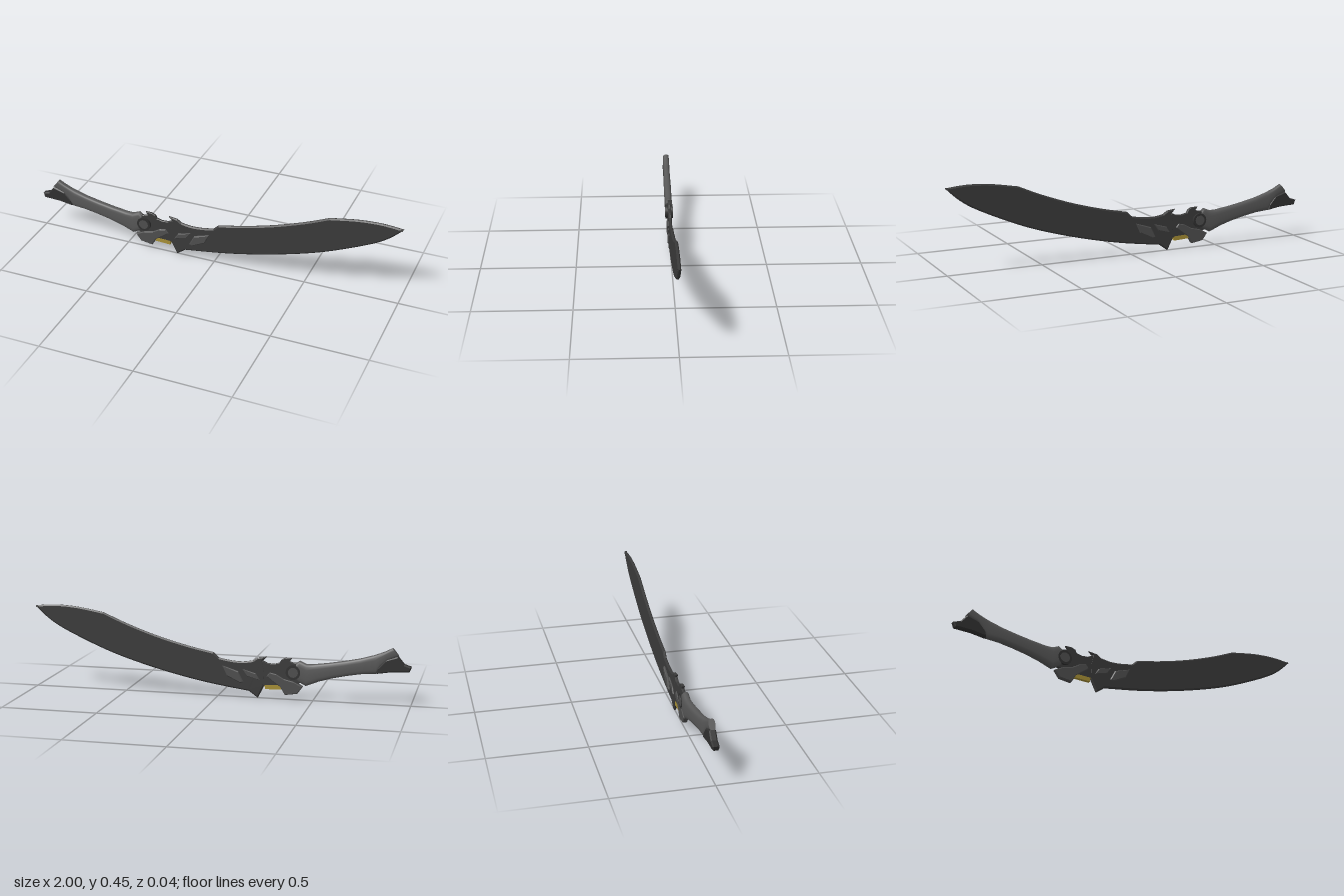
import * as THREE from 'three';

const mat = (name, color, extra = {}) => {
  const m = new THREE.MeshStandardMaterial({ color, ...extra });
  m.name = name;
  return m;
};

export function createModel() {
  const group = new THREE.Group();
  const bladeSteel = mat('blade steel', 0x3a3a3a);
  const gripGrey = mat('grip grey', 0x575757);
  const plateGrey = mat('plate grey', 0x4e4e4e);
  const darkMetal = mat('dark metal', 0x303030);
  const gold = mat('gold', 0xa78f35);

  const add = (name, geometry, material) => {
    const mesh = new THREE.Mesh(geometry, material);
    mesh.name = name;
    group.add(mesh);
    return mesh;
  };

  // Flat part from an outline, bevelled inward, centred on z = 0
  const slab = (name, shape, half, bevel, material, bevelDepth = bevel) => {
    const g = new THREE.ExtrudeGeometry(shape, {
      depth: 2 * (half - bevelDepth), bevelEnabled: true, bevelSegments: 1,
      bevelSize: bevel, bevelOffset: -bevel, bevelThickness: bevelDepth, curveSegments: 10,
    });
    g.translate(0, 0, -(half - bevelDepth));
    return add(name, g, material);
  };
  const poly = (pts) => new THREE.Shape(pts.map(([x, y]) => new THREE.Vector2(x, y)));
  const vecs = (pts) => pts.map(([x, y]) => new THREE.Vector2(x, y));

  // Blade: curved cutting edge, clipped back and hooked heel
  const blade = new THREE.Shape();
  blade.moveTo(-0.245, 0.07);
  blade.lineTo(-0.212, 0.004);
  blade.lineTo(-0.165, 0.038);
  blade.splineThru(vecs([[0.06, 0.072], [0.275, 0.118], [0.49, 0.178], [0.65, 0.236],
    [0.836, 0.32], [0.927, 0.376], [0.998, 0.441]]));
  blade.splineThru(vecs([[0.93, 0.448], [0.86, 0.45], [0.756, 0.442], [0.62, 0.419]]));
  blade.splineThru(vecs([[0.49, 0.364], [0.33, 0.308], [0.17, 0.264], [0.024, 0.233]]));
  blade.lineTo(-0.005, 0.206);
  blade.splineThru(vecs([[-0.07, 0.195], [-0.13, 0.192], [-0.185, 0.2]]));
  blade.lineTo(-0.21, 0.217);
  blade.lineTo(-0.258, 0.223);
  blade.lineTo(-0.238, 0.203);
  blade.lineTo(-0.25, 0.15);
  slab('blade', blade, 0.008, 0.007, bladeSteel, 0.005);

  // Guard core joining blade and grip
  slab('guardCore', poly([[-0.45, 0.1], [-0.36, 0.07], [-0.24, 0.07], [-0.2, 0.1],
    [-0.21, 0.18], [-0.238, 0.203], [-0.262, 0.19], [-0.295, 0.188], [-0.325, 0.195],
    [-0.335, 0.213], [-0.355, 0.222], [-0.39, 0.222], [-0.378, 0.205], [-0.4, 0.198],
    [-0.44, 0.2]]), 0.0075, 0.003, bladeSteel);

  // Grip: rounded cross-sections [top x, top y, bottom x, bottom y, half thickness]
  const stations = [
    [-0.902, 0.3, -0.935, 0.258, 0.016], [-0.868, 0.281, -0.878, 0.235, 0.017],
    [-0.835, 0.268, -0.84, 0.195, 0.018], [-0.81, 0.259, -0.822, 0.163, 0.018],
    [-0.74, 0.238, -0.75, 0.158, 0.019], [-0.66, 0.221, -0.675, 0.145, 0.02],
    [-0.58, 0.207, -0.6, 0.128, 0.02], [-0.5, 0.196, -0.53, 0.107, 0.02],
    [-0.465, 0.196, -0.463, 0.08, 0.02], [-0.43, 0.211, -0.425, 0.1, 0.02],
    [-0.412, 0.197, -0.41, 0.115, 0.02],
  ];
  const sides = 20, pos = [], index = [];
  const bend = (v) => Math.sign(v) * Math.abs(v) ** 0.65;
  for (const [tx, ty, bx, by, w] of stations) {
    for (let i = 0; i < sides; i++) {
      const a = (i / sides) * Math.PI * 2;
      const t = (1 + bend(Math.cos(a))) / 2;
      pos.push(bx + (tx - bx) * t, by + (ty - by) * t, w * bend(Math.sin(a)));
    }
  }
  for (let s = 0; s < stations.length - 1; s++) {
    for (let i = 0; i < sides; i++) {
      const a = s * sides + i, b = s * sides + (i + 1) % sides;
      index.push(a, b, a + sides, b, b + sides, a + sides);
    }
  }
  // End caps use their own vertices to keep crisp rims
  [0, stations.length - 1].forEach((s) => {
    const base = pos.length / 3;
    for (let i = 0; i < sides * 3; i++) pos.push(pos[s * sides * 3 + i]);
    for (let i = 1; i < sides - 1; i++) {
      if (s === 0) index.push(base, base + i + 1, base + i);
      else index.push(base, base + i, base + i + 1);
    }
  });
  const grip = new THREE.BufferGeometry();
  grip.setAttribute('position', new THREE.Float32BufferAttribute(pos, 3));
  grip.setIndex(index);
  grip.computeVertexNormals();
  add('grip', grip, gripGrey);

  // Pommel hook
  slab('pommel', poly([[-1, 0.206], [-0.99, 0.181], [-0.9, 0.177], [-0.825, 0.165],
    [-0.83, 0.195], [-0.868, 0.238], [-0.93, 0.258], [-0.963, 0.219]]), 0.017, 0.006, darkMetal);

  // Lower guard wing
  slab('guardWing', poly([[-0.448, 0.076], [-0.42, 0.038], [-0.355, 0.028], [-0.33, 0.07],
    [-0.297, 0.092], [-0.258, 0.122], [-0.275, 0.143], [-0.31, 0.135], [-0.35, 0.112],
    [-0.4, 0.1]]), 0.013, 0.004, plateGrey);

  // Raised plates at the base of the blade
  slab('innerPlate', poly([[-0.224, 0.1], [-0.202, 0.134], [-0.13, 0.154], [-0.155, 0.117]]),
    0.014, 0.004, plateGrey);
  slab('outerPlate', poly([[-0.138, 0.086], [-0.11, 0.141], [-0.024, 0.168], [-0.048, 0.115],
    [-0.12, 0.08]]), 0.018, 0.005, plateGrey);

  // Pivot: dark collar with a lighter pin through it
  const disc = (name, r, depth, material) => {
    const g = new THREE.CylinderGeometry(r, r, depth, 24);
    g.rotateX(Math.PI / 2);
    add(name, g, material).position.set(-0.398, 0.15, 0);
  };
  disc('pivotCollar', 0.038, 0.04, darkMetal);
  disc('pivotPin', 0.026, 0.043, plateGrey);

  // Gold catch under the guard
  const bar = add('goldCatch', new THREE.BoxGeometry(0.085, 0.022, 0.018), gold);
  bar.position.set(-0.292, 0.066, 0);
  bar.rotation.z = -0.05;

  return group;
}
